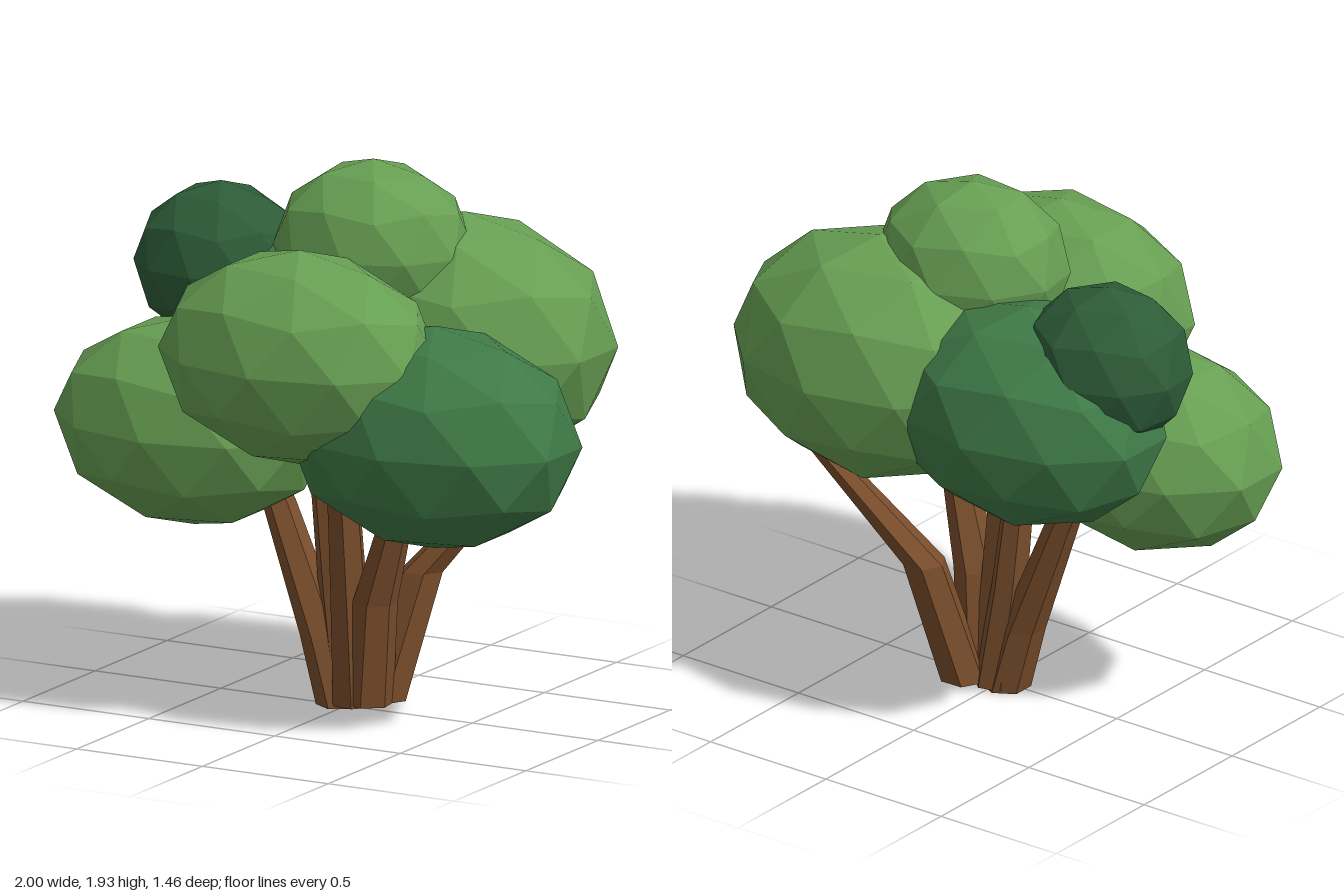
import * as THREE from 'three';

const material = (name, color) => Object.assign(new THREE.MeshStandardMaterial({ color }), { name });

// Faceted ellipsoid of leaves with a vertex pointing straight up
function leafGeometry() {
  const geo = new THREE.IcosahedronGeometry(1, 1);
  geo.rotateZ(-Math.atan(2 / (1 + Math.sqrt(5))));
  geo.computeVertexNormals();
  return geo;
}

// Tapering faceted limb; each path point is [x, y, z, radius]
function limbGeometry(path, turn) {
  const last = path.length - 1;
  const bent = new THREE.CylinderGeometry(1, 1, 1, 6, last);
  bent.rotateY(turn);
  const pos = bent.attributes.position;
  for (let i = 0; i < pos.count; i++) {
    const [x, y, z, r] = path[Math.round((pos.getY(i) + 0.5) * last)];
    pos.setXYZ(i, x + pos.getX(i) * r, y, z + pos.getZ(i) * r);
  }
  const geo = bent.toNonIndexed();
  geo.computeVertexNormals();
  return geo;
}

export function createModel() {
  const tree = new THREE.Group();
  tree.name = 'tree';
  const bark = material('bark brown', 0x7a4e2c);
  const light = material('light leaf green', 0x679f53);
  const mid = material('mid leaf green', 0x3f7a47);
  const dark = material('dark leaf green', 0x2d5c38);

  // Foliage: name, material, centre, radii, yaw
  const leaf = leafGeometry();
  const clumps = [
    ['frontFoliage', light, [0.02, 1.33, 0.36], [0.525, 0.38, 0.365], 0],
    ['leftLowFoliage', light, [-0.51, 1.0, 0.17], [0.515, 0.37, 0.38], 0],
    ['rightLowFoliage', mid, [0.48, 1.075, 0.23], [0.547, 0.395, 0.395], 0],
    ['backRightFoliage', light, [0.3, 1.295, -0.3], [0.56, 0.445, 0.43], 0],
    ['backLeftFoliage', mid, [-0.33, 1.24, -0.285], [0.54, 0.4, 0.385], 0],
    ['smallDarkFoliage', dark, [-0.613, 1.47, -0.2], [0.31, 0.29, 0.27], 0.1],
    ['topFoliage', light, [0.05, 1.63, -0.1], [0.355, 0.31, 0.295], 0.15],
  ];
  for (const [name, mat, centre, radii, yaw] of clumps) {
    const mesh = new THREE.Mesh(leaf, mat);
    mesh.name = name;
    mesh.position.set(...centre);
    mesh.scale.set(...radii);
    mesh.rotation.y = yaw;
    tree.add(mesh);
  }

  // Limbs that spread from one common foot
  const limbs = [
    ['leftLimb', [[-0.03, 0.01, -0.01, 0.085], [-0.1, 0.25, -0.01, 0.08], [-0.28, 0.7, -0.02, 0.06], [-0.42, 1.0, -0.02, 0.045]]],
    ['frontLimb', [[0.03, 0.02, 0.0, 0.08], [0.03, 0.45, 0.04, 0.068], [0.03, 1.02, 0.1, 0.055]]],
    ['middleLimb', [[0.0, 0.02, -0.03, 0.08], [-0.05, 0.4, -0.02, 0.065], [-0.1, 0.95, 0.0, 0.05]]],
    ['rightLimb', [[0.09, 0.03, 0.0, 0.085], [0.13, 0.4, 0.03, 0.08], [0.28, 0.85, 0.08, 0.05]]],
    ['backLimb', [[0.1, 0.03, -0.085, 0.085], [0.2, 0.48, -0.18, 0.078], [0.54, 0.91, -0.35, 0.045], [0.58, 0.97, -0.37, 0.015]]],
  ];
  limbs.forEach(([name, path], i) => {
    const mesh = new THREE.Mesh(limbGeometry(path, i * 0.4), bark);
    mesh.name = name;
    tree.add(mesh);
  });
  return tree;
}
